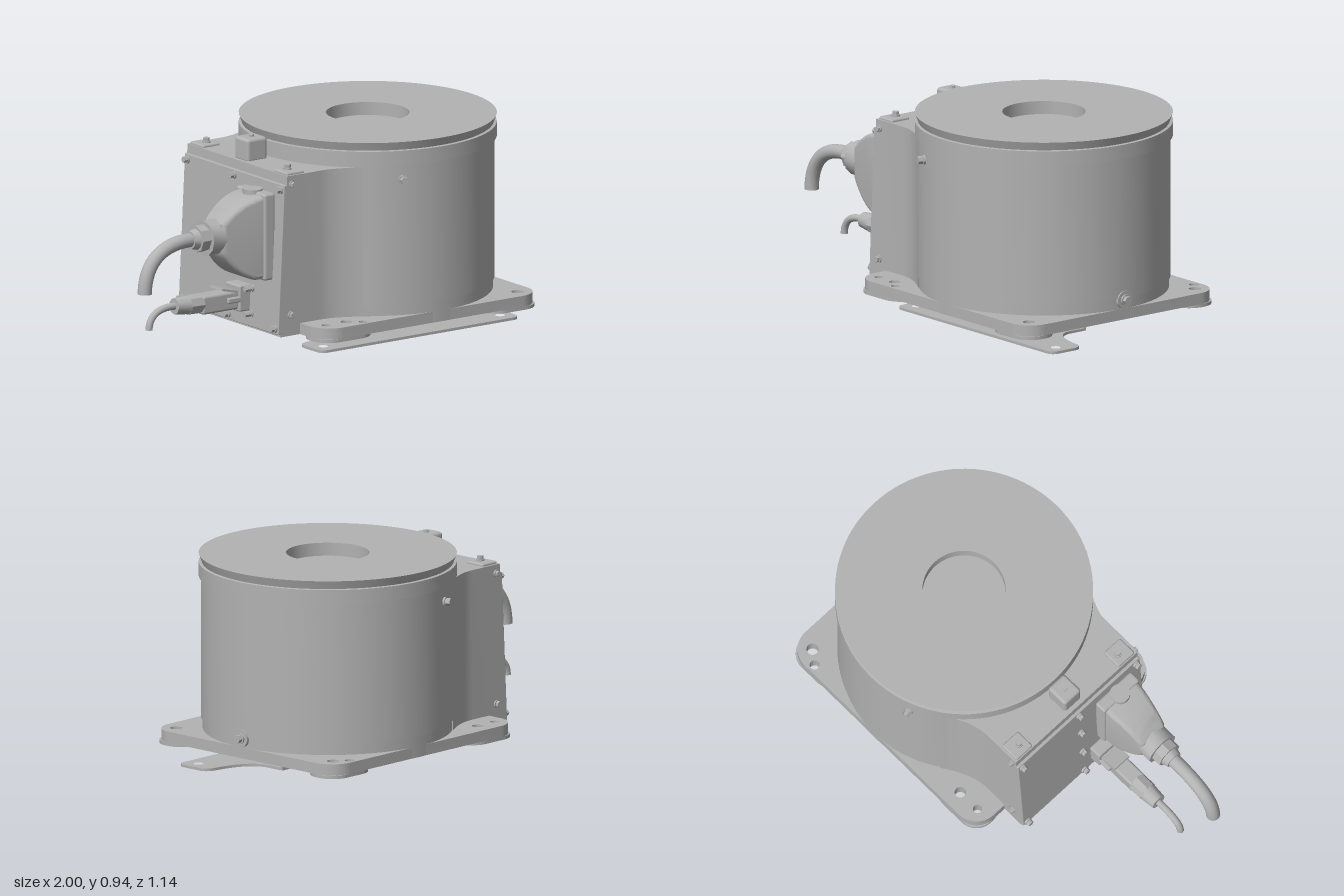
import * as THREE from 'three';
import { toCreasedNormals } from 'three/addons/utils/BufferGeometryUtils.js';
import { RoundedBoxGeometry } from 'three/addons/geometries/RoundedBoxGeometry.js';

const grey = new THREE.MeshStandardMaterial({ color: 0xb2b2b2 });
grey.name = 'machine grey';

const CX = 0.405; // axis of the drum

function add(parent, name, geo, x = 0, y = 0, z = 0) {
  const mesh = new THREE.Mesh(geo, grey);
  mesh.name = name;
  mesh.position.set(x, y, z);
  parent.add(mesh);
  return mesh;
}

// Box given by its limits
function block(parent, name, x0, x1, y0, y1, z0, z1, r = 0) {
  const s = [x1 - x0, y1 - y0, z1 - z0];
  const geo = r ? new RoundedBoxGeometry(...s, 3, r) : new THREE.BoxGeometry(...s);
  return add(parent, name, geo, (x0 + x1) / 2, (y0 + y1) / 2, (z0 + z1) / 2);
}

// Rod from one point to another
function rod(parent, name, a, b, r, sides = 24, r2 = r) {
  const from = new THREE.Vector3(...a), dir = new THREE.Vector3(...b).sub(from);
  const geo = toCreasedNormals(new THREE.CylinderGeometry(r2, r, dir.length(), sides), 0.6);
  const mesh = add(parent, name, geo);
  mesh.position.copy(from).addScaledVector(dir, 0.5);
  mesh.quaternion.setFromUnitVectors(new THREE.Vector3(0, 1, 0), dir.normalize());
  return mesh;
}

// Bolt: round washer with a hexagonal head
function bolt(parent, p, dir, r, h) {
  const at = (t) => p.map((v, i) => v + dir[i] * h * t);
  rod(parent, 'boltWasher', p, at(0.35), r, 20);
  rod(parent, 'boltHead', at(0.3), at(1), r * 0.8, 6);
}

// Plan shape (x, -z) raised between two heights
function raise(shape, y0, y1) {
  const geo = new THREE.ExtrudeGeometry(shape, { depth: y1 - y0, bevelEnabled: false, curveSegments: 16 });
  return toCreasedNormals(geo.rotateX(-Math.PI / 2).translate(0, y0, 0), 0.5);
}

function roundedRect(x0, x1, y0, y1, r) {
  const s = new THREE.Shape();
  s.absarc(x1 - r, y1 - r, r, 0, Math.PI / 2);
  s.absarc(x0 + r, y1 - r, r, Math.PI / 2, Math.PI);
  s.absarc(x0 + r, y0 + r, r, Math.PI, Math.PI * 1.5);
  s.absarc(x1 - r, y0 + r, r, Math.PI * 1.5, Math.PI * 2);
  s.closePath();
  return s;
}

function drill(shape, holes) {
  for (const [x, y, r] of holes) shape.holes.push(new THREE.Path().absarc(x, y, r, 0, Math.PI * 2, true));
  return shape;
}

function buildBase(g) {
  // Plate with mounting holes
  const holes = [[0, -0.52, 0.02], [0.82, 0.52, 0.022]];
  for (const s of [-1, 1]) holes.push([-0.17, 0.475 * s, 0.02], [-0.06, 0.475 * s, 0.025], [0.88, 0.475 * s, 0.027]);
  add(g, 'basePlate', raise(drill(roundedRect(-0.24, 0.96, -0.553, 0.553, 0.11), holes), 0.1, 0.15));
  // Low feet under the corners
  for (const left of [true, false]) for (const s of [-1, 1]) {
    const x0 = left ? -0.24 : 0.68, x1 = left ? 0.06 : 0.96;
    const y0 = s > 0 ? 0.36 : -0.553, y1 = s > 0 ? 0.553 : -0.36;
    const inFoot = holes.filter(([x, y, r]) => x - r > x0 && x + r < x1 && y * s > 0);
    add(g, 'cornerFoot', raise(drill(roundedRect(x0, x1, y0, y1, 0.09), inFoot), 0.085, 0.1));
  }
  // Hanging bracket: upper flange, web and wide lower plate
  block(g, 'bracketFlange', 0.11, 0.7, 0.088, 0.1, -0.33, 0.01);
  block(g, 'bracketWeb', 0.11, 0.7, 0.006, 0.1, 0.0, 0.011);
  const p = new THREE.Shape();
  p.moveTo(0.7, 0);
  p.lineTo(0.7, -0.1);
  p.quadraticCurveTo(0.72, -0.2, 0.9, -0.22);
  p.quadraticCurveTo(0.95, -0.23, 0.95, -0.27);
  p.lineTo(0.95, -0.36);
  p.quadraticCurveTo(0.95, -0.4, 0.91, -0.4);
  p.lineTo(-0.1, -0.4);
  p.quadraticCurveTo(-0.14, -0.4, -0.14, -0.36);
  p.lineTo(-0.14, -0.27);
  p.quadraticCurveTo(-0.14, -0.23, -0.09, -0.22);
  p.quadraticCurveTo(0.09, -0.2, 0.11, -0.1);
  p.lineTo(0.11, 0);
  p.closePath();
  add(g, 'bracketPlate', raise(drill(p, [[0.89, -0.33, 0.022], [-0.08, -0.33, 0.022]]), 0, 0.012));
}

function buildDrum(g) {
  // Drum, ring, turntable flange and shallow centre recess
  const pts = [[0, 0.1], [0.555, 0.1], [0.555, 0.2], [0.562, 0.2], [0.562, 0.84], [0.572, 0.84], [0.572, 0.904],
    [0.558, 0.906], [0.572, 0.944], [0.185, 0.944], [0.185, 0.885], [0, 0.885]];
  const geo = new THREE.LatheGeometry(pts.map(([x, y]) => new THREE.Vector2(x, y)), 96);
  add(g, 'drum', toCreasedNormals(geo, 0.3), CX, 0, 0);
  for (const s of [-1, 1]) bolt(g, [0.215, 0.77, 0.525 * s], [-0.34, 0, 0.94 * s], 0.022, 0.035);
  rod(g, 'sideBoss', [0.94, 0.193, 0], [0.972, 0.193, 0], 0.04, 28);
  bolt(g, [0.97, 0.193, 0], [1, 0, 0], 0.024, 0.027);
}

function buildTerminalBox(g) {
  // Box blending tangentially into the drum, with a leaning outer face
  const s = new THREE.Shape();
  s.moveTo(-0.31, -0.375);
  s.lineTo(-0.13, -0.375);
  s.quadraticCurveTo(-0.036, -0.375, 0.084, -0.459);
  s.lineTo(0.084, 0.459);
  s.quadraticCurveTo(-0.036, 0.375, -0.13, 0.375);
  s.lineTo(-0.31, 0.375);
  s.closePath();
  const geo = raise(s, 0.1, 0.83), pos = geo.attributes.position;
  for (let i = 0; i < pos.count; i++) {
    if (pos.getX(i) < -0.3) pos.setX(i, pos.getX(i) - (0.83 - pos.getY(i)) * 0.05);
  }
  add(g, 'terminalBox', toCreasedNormals(geo, 0.5));

  // Screwed cover on the leaning face
  const cover = new THREE.Group();
  cover.name = 'cover';
  cover.position.set(-0.333, 0.45, 0);
  cover.rotation.z = -0.05;
  g.add(cover);
  block(cover, 'coverPlate', -0.01, 0.01, -0.34, 0.34, -0.375, 0.375, 0.004);
  for (const z of [-0.35, 0, 0.35]) for (const y of [-0.315, -0.1, 0.12, 0.315]) {
    if (z === 0 || Math.abs(y) > 0.2) bolt(cover, [-0.01, y, z], [-1, 0, 0], 0.018, 0.025);
  }

  // Lifting pads, top bracket and side bolts
  for (const s of [-1, 1]) {
    block(g, 'liftingPad', -0.305, -0.21, 0.82, 0.842, 0.315 * s - 0.05, 0.315 * s + 0.05, 0.008);
    bolt(g, [-0.258, 0.842, 0.305 * s], [0, 1, 0], 0.019, 0.022);
    bolt(g, [-0.29, 0.195, 0.375 * s], [0, 0, s], 0.018, 0.02);
    bolt(g, [-0.285, 0.79, 0.375 * s], [0, 0, s], 0.016, 0.02);
  }
  block(g, 'topBracket', -0.29, -0.18, 0.82, 0.928, -0.052, 0.05, 0.015);
  bolt(g, [-0.235, 0.926, 0], [0, 1, 0], 0.015, 0.01);
}

// Bent cable ending in a flat cut facing down
function cable(g, name, pts, r, z) {
  const curve = new THREE.CubicBezierCurve3(...pts.map(([x, y]) => new THREE.Vector3(x, y, z)));
  add(g, name, new THREE.TubeGeometry(curve, 32, r, 16));
  const end = pts[3];
  add(g, name + 'End', new THREE.CircleGeometry(r, 16).rotateX(Math.PI / 2), end[0], end[1], z);
}

function buildPowerConnector(g) {
  const z = 0.205;
  block(g, 'powerFlange', -0.39, -0.33, 0.35, 0.745, z - 0.11, z + 0.11, 0.012);
  // Domed hood
  const s = new THREE.Shape();
  s.moveTo(-0.36, 0.375);
  s.lineTo(-0.36, 0.72);
  s.lineTo(-0.42, 0.71);
  s.quadraticCurveTo(-0.51, 0.69, -0.57, 0.62);
  s.lineTo(-0.57, 0.5);
  s.quadraticCurveTo(-0.51, 0.4, -0.42, 0.375);
  s.closePath();
  const geo = new THREE.ExtrudeGeometry(s, { depth: 0.15, bevelThickness: 0.025, bevelSize: 0.02, bevelSegments: 4, curveSegments: 12 });
  geo.translate(0, 0, -0.075);
  const pos = geo.attributes.position;
  // Taper the hood towards the cable
  for (let i = 0; i < pos.count; i++) {
    pos.setZ(i, pos.getZ(i) * (1 - Math.max(0, -0.42 - pos.getX(i)) * 1.5));
  }
  add(g, 'powerHood', toCreasedNormals(geo, 0.6), 0, 0, z);
  rod(g, 'hoodKnob', [-0.375, 0.71, z], [-0.375, 0.752, z], 0.045, 20);
  // Cable gland
  rod(g, 'glandCollar', [-0.57, 0.562, z], [-0.645, 0.562, z], 0.08, 12);
  rod(g, 'glandNut', [-0.64, 0.565, z], [-0.69, 0.565, z], 0.062, 8);
  rod(g, 'glandSleeve', [-0.69, 0.565, z], [-0.72, 0.565, z], 0.048, 24, 0.04);
  cable(g, 'powerCable', [[-0.7, 0.565], [-0.87, 0.575], [-0.965, 0.5], [-0.968, 0.355]], 0.032, z);
}

function buildSignalConnector(g) {
  const z = 0.1;
  block(g, 'signalFlange', -0.41, -0.34, 0.18, 0.3, z - 0.055, z + 0.055, 0.008);
  for (const y of [0.17, 0.285]) bolt(g, [-0.345, y, z + 0.07], [-1, 0, 0], 0.016, 0.05);
  block(g, 'signalBody', -0.6, -0.4, 0.19, 0.275, z - 0.04, z + 0.04, 0.012);
  // Locking lever on top
  const lever = block(g, 'lockingLever', -0.5, -0.41, 0.277, 0.287, z - 0.045, z + 0.045);
  lever.rotation.z = -0.25;
  block(g, 'lockingHook', -0.47, -0.36, 0.225, 0.25, z - 0.055, z + 0.055, 0.006);
  // Cable gland
  rod(g, 'signalNut', [-0.59, 0.238, z], [-0.66, 0.24, z], 0.046, 8);
  rod(g, 'signalCollar', [-0.655, 0.24, z], [-0.73, 0.243, z], 0.043, 20, 0.036);
  cable(g, 'signalCable', [[-0.72, 0.243], [-0.8, 0.25], [-0.865, 0.23], [-0.868, 0.155]], 0.016, z);
}

export function createModel() {
  const model = new THREE.Group();
  model.name = 'rotaryTable';
  const parts = { base: buildBase, drumUnit: buildDrum, boxUnit: buildTerminalBox, powerConnector: buildPowerConnector, signalConnector: buildSignalConnector };
  for (const [name, build] of Object.entries(parts)) {
    const group = new THREE.Group();
    group.name = name;
    build(group);
    model.add(group);
  }
  return model;
}
